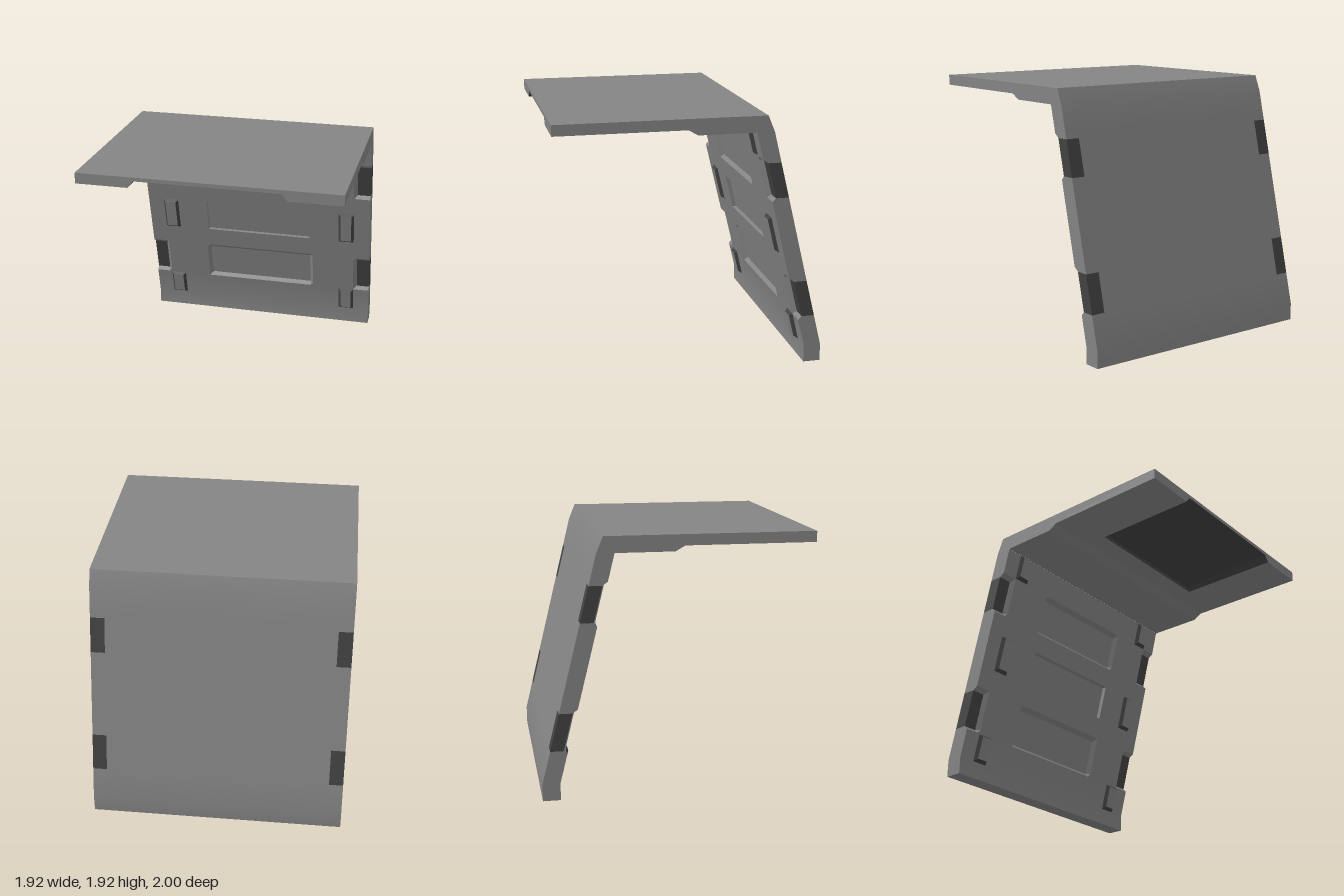
import * as THREE from 'three';
import { toCreasedNormals } from 'three/addons/utils/BufferGeometryUtils.js';

const W = 0.96;
const grey = new THREE.MeshStandardMaterial({ color: 0x848484 });
const dark = new THREE.MeshStandardMaterial({ color: 0x424242 });

// Corners run counter-clockwise as seen from outside.
function quad(list, a, b, c, d) {
  list.push(...a, ...b, ...c, ...a, ...c, ...d);
}

function addMesh(parent, name, list, material) {
  const geo = new THREE.BufferGeometry();
  geo.setAttribute('position', new THREE.Float32BufferAttribute(list, 3));
  const mesh = new THREE.Mesh(toCreasedNormals(geo, 0.3), material);
  mesh.name = name;
  parent.add(mesh);
}

// Wall faces: vertical foot, then leaning forward, the back bending more at the roof.
const frontZ = (y) => -0.87 + 0.245 * Math.max(0, y - 0.13);
const backZ = (y) => frontZ(Math.min(y, 1.8)) - 0.13 + 0.42 * Math.max(0, y - 1.8);

// Recesses in the wall: outer rectangle and bevel width.
const recesses = [
  { x0: -0.47, x1: 0.47, y0: 1.28, y1: 1.6, bevel: 0.028 },
  { x0: -0.445, x1: 0.445, y0: 0.845, y1: 1.125, bevel: 0.003 },
  { x0: -0.47, x1: 0.47, y0: 0.345, y1: 0.68, bevel: 0.028 },
];
for (const [y0, y1] of [[1.28, 1.6], [0.345, 0.68]]) {
  recesses.push({ x0: 0.825, x1: 2, y0, y1, bevel: 0.028 });
  recesses.push({ x0: -2, x1: -0.825, y0, y1, bevel: 0.028 });
}

function recessDepth(x, y) {
  let depth = 0;
  for (const r of recesses) {
    const inside = Math.min(x - r.x0, r.x1 - x, y - r.y0, r.y1 - y) / r.bevel;
    depth = Math.max(depth, 0.032 * THREE.MathUtils.clamp(inside, 0, 1));
  }
  return depth;
}

// Grid lines follow every bevel edge.
function gridLines(lo, hi, keys, extra) {
  const values = [lo, hi, ...extra];
  for (const r of recesses) {
    values.push(r[keys[0]], r[keys[0]] + r.bevel, r[keys[1]] - r.bevel, r[keys[1]]);
  }
  return [...new Set(values.map((v) => +v.toFixed(4)))]
    .filter((v) => v >= lo && v <= hi).sort((a, b) => a - b);
}

function buildWall(group) {
  const xs = gridLines(-W, W, ['x0', 'x1'], []);
  const ys = gridLines(0, 1.92, ['y0', 'y1'], [0.13, 1.8]);
  const wall = [], inserts = [];
  const F = (x, y) => [x, y, frontZ(y) - recessDepth(x, y)];
  const B = (x, y) => [x, y, backZ(y)];
  for (let i = 0; i < xs.length - 1; i++) {
    for (let j = 0; j < ys.length - 1; j++) {
      const [x0, x1, y0, y1] = [xs[i], xs[i + 1], ys[j], ys[j + 1]];
      const my = (y0 + y1) / 2;
      const isInsert = Math.abs(x0 + x1) / 2 > 0.853 &&
        ((my > 0.37 && my < 0.655) || (my > 1.305 && my < 1.575));
      const list = isInsert ? inserts : wall;
      quad(list, B(x1, y0), B(x0, y0), B(x0, y1), B(x1, y1));
      // Beside the roof only the back face shows.
      if (y0 >= 1.8) continue;
      quad(list, F(x0, y0), F(x1, y0), F(x1, y1), F(x0, y1));
      if (x1 === W) quad(list, F(x1, y0), B(x1, y0), B(x1, y1), F(x1, y1));
      if (x0 === -W) quad(list, B(x0, y0), F(x0, y0), F(x0, y1), B(x0, y1));
      if (y0 === 0) quad(list, B(x0, 0), B(x1, 0), F(x1, 0), F(x0, 0));
    }
  }
  addMesh(group, 'backWall', wall, grey);
  addMesh(group, 'sideInserts', inserts, dark);
}

// Roof lofted across x; n opens the shallow channel under its front part.
function buildRoof(group) {
  const profile = (n) => [
    [-0.46, 1.8], [backZ(1.8), 1.8], [backZ(1.92), 1.92], [1, 1.92],
    [1, 1.84 + 0.052 * n], [0.2, 1.84 + 0.03 * n], [0.2, 1.84], [0.04, 1.84], [-0.03, 1.8],
  ];
  const sections = [[-W, 0], [-0.57, 0], [-0.53, 1], [0.53, 1], [0.57, 0], [W, 0]]
    .map(([x, n]) => profile(n).map(([z, y]) => [x, y, z]));
  const roof = [], channel = [];
  for (let s = 0; s < sections.length - 1; s++) {
    const a = sections[s], b = sections[s + 1];
    // The first two edges belong to the wall.
    for (let k = 2; k < a.length; k++) {
      const m = (k + 1) % a.length;
      const inChannel = s > 0 && s < 4 && (k === 4 || k === 5);
      quad(inChannel ? channel : roof, a[k], a[m], b[m], b[k]);
    }
  }
  // End caps
  const pts = profile(0).filter((p, k) => k !== 5 && k !== 6)
    .map(([z, y]) => new THREE.Vector2(z, y));
  for (const side of [-1, 1]) {
    for (const t of THREE.ShapeUtils.triangulateShape(pts, [])) {
      const [a, b, c] = t.map((k) => pts[k]);
      const turn = (b.x - a.x) * (c.y - a.y) - (b.y - a.y) * (c.x - a.x);
      const order = turn * side < 0 ? [a, b, c] : [a, c, b];
      for (const p of order) roof.push(side * W, p.y, p.x);
    }
  }
  addMesh(group, 'roof', roof, grey);
  addMesh(group, 'roofChannel', channel, dark);
}

// Raised pad with dark bevelled sides and a grey face.
function buildPad(group, x0, x1, y0, y1) {
  const rect = (inset, lift) =>
    [[x0 + inset, y0 + inset], [x1 - inset, y0 + inset], [x1 - inset, y1 - inset], [x0 + inset, y1 - inset]]
      .map(([x, y]) => [x, y, frontZ(y) + lift]);
  const base = rect(0, -0.005), top = rect(0.022, 0.027);
  const rim = [], face = [];
  for (let k = 0; k < 4; k++) {
    const m = (k + 1) % 4;
    quad(rim, base[k], base[m], top[m], top[k]);
  }
  quad(face, ...top);
  const pad = new THREE.Group();
  pad.name = 'raisedPad';
  addMesh(pad, 'padRim', rim, dark);
  addMesh(pad, 'padFace', face, grey);
  group.add(pad);
}

export function createModel() {
  const group = new THREE.Group();
  group.name = 'wallWithRoof';
  buildWall(group);
  buildRoof(group);
  for (const [y0, y1] of [[0.13, 0.345], [0.84, 1.125], [1.6, 1.8]]) {
    buildPad(group, 0.695, 0.83, y0, y1);
    buildPad(group, -0.83, -0.695, y0, y1);
  }
  return group;
}
